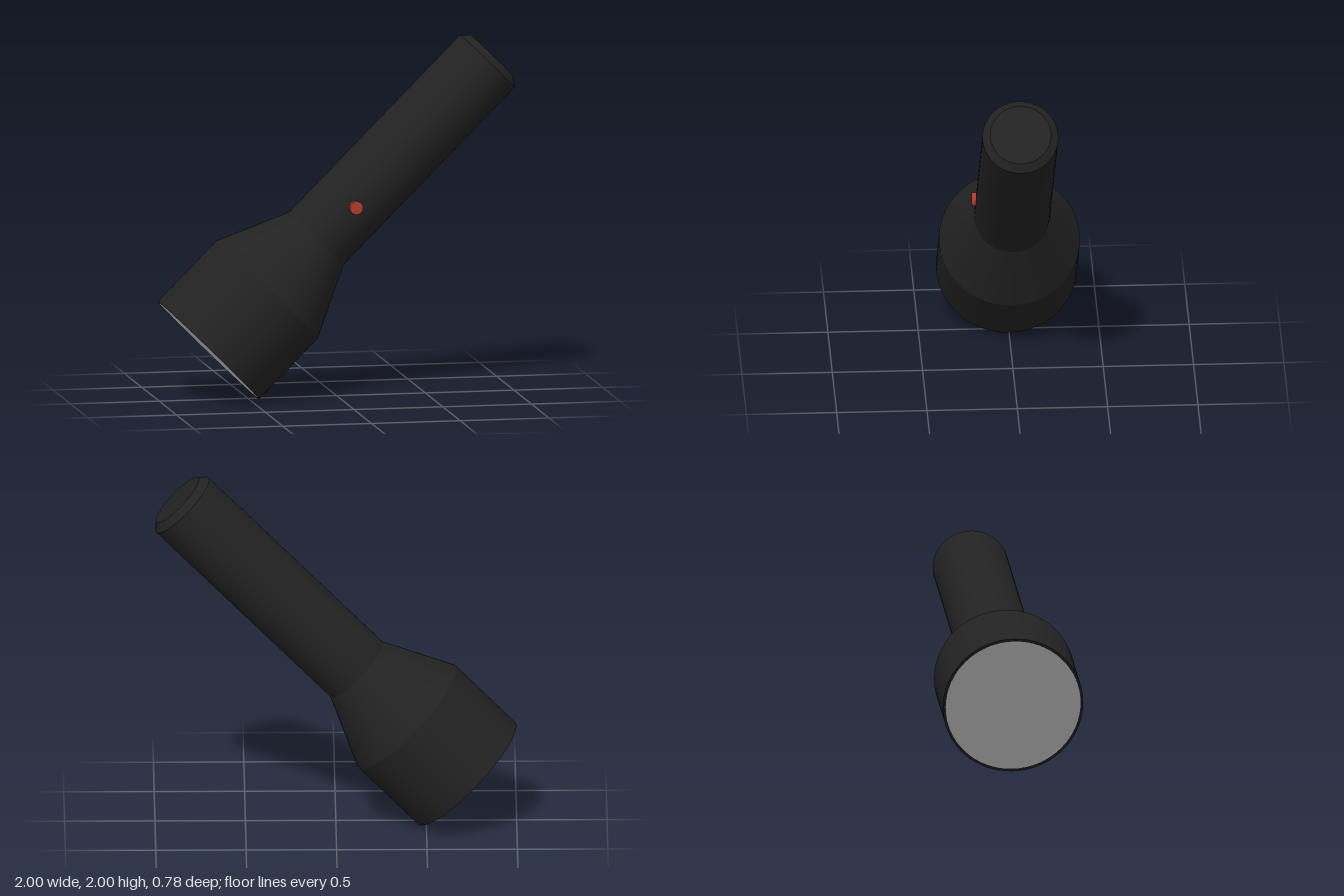
import * as THREE from 'three';

export function createModel() {
  const model = new THREE.Group();
  const black = new THREE.MeshStandardMaterial({ color: 0x222222 });
  const red = new THREE.MeshStandardMaterial({ color: 0xb03a2e });
  const grey = new THREE.MeshStandardMaterial({ color: 0xcccccc });

  // The torch is built upright along y, lens down, then tilted 45 degrees
  const torch = new THREE.Group();
  torch.name = 'torch';
  torch.position.set(-0.723, 0.277, 0);
  torch.rotation.z = -Math.PI / 4;
  model.add(torch);

  const add = (parent, name, geometry, material) => {
    const mesh = new THREE.Mesh(geometry, material);
    mesh.name = name;
    parent.add(mesh);
    return mesh;
  };

  // Body sections: name, start, end, start radius, end radius
  const sections = [
    ['head', 0, 0.467, 0.39, 0.39],
    ['neck', 0.467, 0.86, 0.39, 0.21],
    ['handle', 0.86, 2.222, 0.21, 0.21],
    ['tailChamfer', 2.222, 2.262, 0.21, 0.168],
  ];
  for (const [name, y0, y1, r0, r1] of sections) {
    const section = new THREE.CylinderGeometry(r1, r0, y1 - y0, 64, 1, true);
    add(torch, name, section, black).position.y = (y0 + y1) / 2;
  }

  // Tail cap
  const cap = add(torch, 'tailCap', new THREE.CircleGeometry(0.168, 64), black);
  cap.rotation.x = -Math.PI / 2;
  cap.position.y = 2.262;

  // Thin rim and lens at the front of the head
  const rim = add(torch, 'rim', new THREE.RingGeometry(0.375, 0.39, 64), black);
  rim.rotation.x = Math.PI / 2;
  const lens = add(torch, 'lens', new THREE.CircleGeometry(0.375, 64), grey);
  lens.rotation.x = Math.PI / 2;

  // Switch button on the side of the handle
  const button = add(model, 'button', new THREE.CylinderGeometry(0.037, 0.037, 0.06, 32), red);
  button.rotation.x = Math.PI / 2;
  button.position.set(0.067, 1.085, 0.203);

  return model;
}
